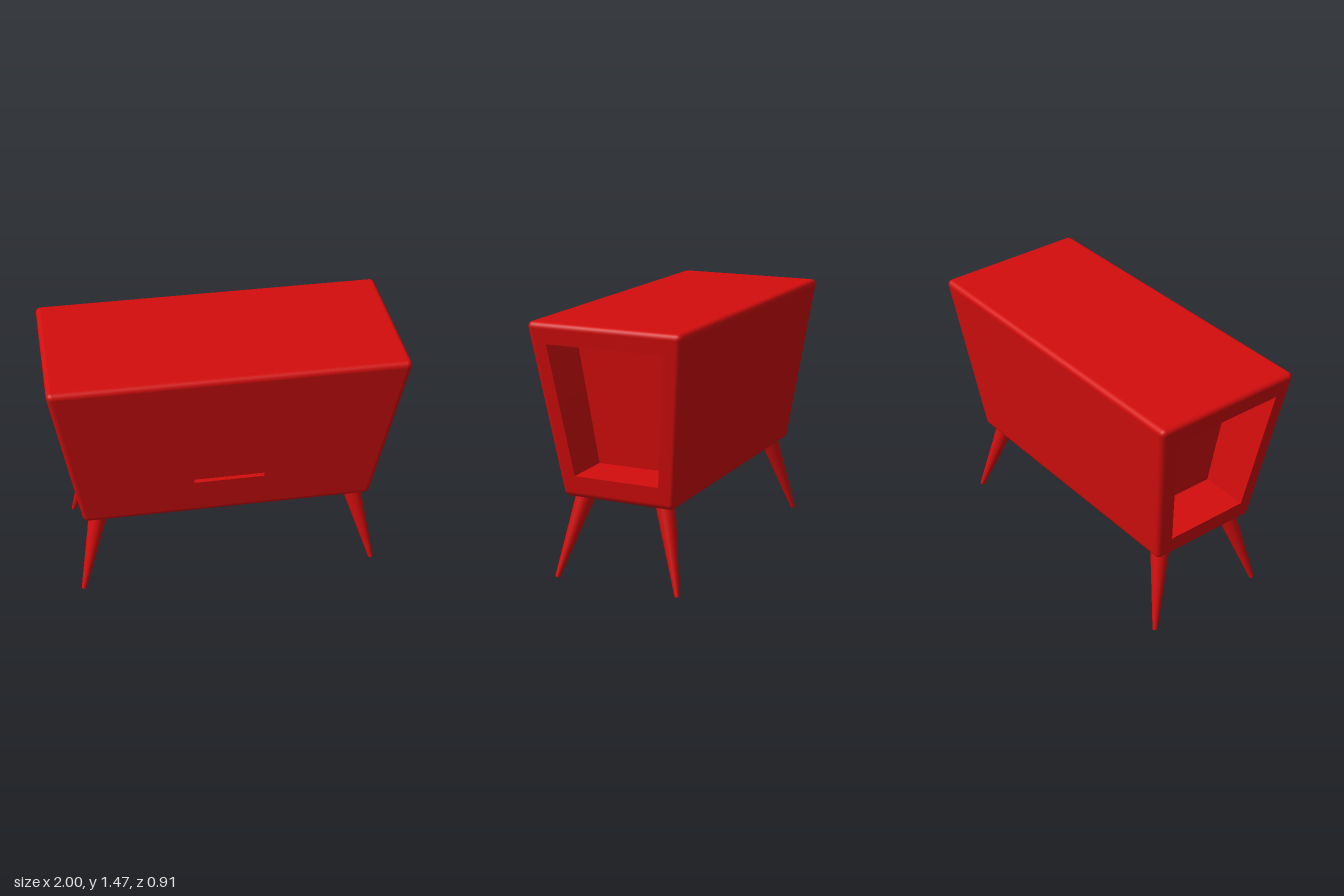
import * as THREE from 'three';
import { mergeGeometries } from 'three/addons/utils/BufferGeometryUtils.js';
import { RoundedBoxGeometry } from 'three/addons/geometries/RoundedBoxGeometry.js';

const Y0 = 0.475, Y1 = 1.475;            // bottom and top of the cabinet
const HX = 1.005, HZ = 0.459, R = 0.035; // half sizes at the top, edge radius
const KX = 0.162, KZ = 0.274;            // how much width and depth shrink at the bottom

// Keep only the triangles for which keep(a, b, c) holds; optionally turn them inside out.
function filterTriangles(geometry, keep, invert = false) {
  const p = geometry.attributes.position, n = geometry.attributes.normal;
  const pos = [], nor = [];
  const order = invert ? [0, 2, 1] : [0, 1, 2], s = invert ? -1 : 1;
  for (let i = 0; i < p.count; i += 3) {
    const corners = [0, 1, 2].map(k => new THREE.Vector3().fromBufferAttribute(p, i + k));
    if (!keep(...corners)) continue;
    for (const k of order) {
      pos.push(...corners[k].toArray());
      nor.push(s * n.getX(i + k), s * n.getY(i + k), s * n.getZ(i + k));
    }
  }
  const out = new THREE.BufferGeometry();
  out.setAttribute('position', new THREE.Float32BufferAttribute(pos, 3));
  out.setAttribute('normal', new THREE.Float32BufferAttribute(nor, 3));
  return out;
}

// Narrow the straight box towards the bottom, carrying the normals along.
function taper(geometry) {
  const p = geometry.attributes.position, n = geometry.attributes.normal;
  const v = new THREE.Vector3(), m = new THREE.Vector3();
  for (let i = 0; i < p.count; i++) {
    v.fromBufferAttribute(p, i);
    m.fromBufferAttribute(n, i);
    const t = (Y1 - v.y) / (Y1 - Y0), sx = 1 - KX * t, sz = 1 - KZ * t;
    m.set(m.x / sx, m.y - v.x * KX * m.x / sx - v.z * KZ * m.z / sz, m.z / sz).normalize();
    p.setXYZ(i, v.x * sx, v.y, v.z * sz);
    n.setXYZ(i, m.x, m.y, m.z);
  }
  return geometry;
}

// A flat wall of the box with a recess sunk into it, facing +z at distance dist.
function recessedWall(halfWidth, outline, depth, dist) {
  const points = outline.map(([x, y]) => new THREE.Vector2(x, y));
  const wall = new THREE.Shape([
    new THREE.Vector2(-halfWidth, Y0 + R), new THREE.Vector2(halfWidth, Y0 + R),
    new THREE.Vector2(halfWidth, Y1 - R), new THREE.Vector2(-halfWidth, Y1 - R)]);
  wall.holes.push(new THREE.Path(points));
  const face = filterTriangles(new THREE.ShapeGeometry(wall).toNonIndexed(), () => true);
  const block = new THREE.ExtrudeGeometry(new THREE.Shape(points), { depth, bevelEnabled: false });
  block.translate(0, 0, -depth);
  const pocket = filterTriangles(block,
    (a, b, c) => Math.min(a.z, b.z, c.z) < -1e-5, true);
  return mergeGeometries([face, pocket]).translate(0, 0, dist);
}

export function createModel() {
  const group = new THREE.Group();
  const red = new THREE.MeshStandardMaterial({ color: 0xd40d0d });
  const add = (name, geometry) => {
    const mesh = new THREE.Mesh(geometry, red);
    mesh.name = name;
    group.add(mesh);
    return mesh;
  };

  // Rounded shell, left open where the recessed walls go
  const box = new RoundedBoxGeometry(2 * HX, Y1 - Y0, 2 * HZ, 4, R);
  box.translate(0, (Y0 + Y1) / 2, 0);
  const shell = filterTriangles(box.index ? box.toNonIndexed() : box, (a, b, c) => {
    const onSide = [a, b, c].every(q => Math.abs(q.x) > HX - 1e-5);
    const onFront = [a, b, c].every(q => q.z > HZ - 1e-5);
    return !onSide && !onFront;
  });
  add('cabinetShell', taper(shell));

  // Front wall with its slot handle
  const slot = [[-0.203, 0.715], [0.203, 0.715], [0.203, 0.75], [-0.203, 0.75]]
    .map(([x, y]) => [x / (1 - KX * (Y1 - y)), y]);
  add('frontWallWithSlot', taper(recessedWall(HX - R, slot, 0.035, HZ)));

  // Open shelf niche in each end
  const niche = [[-0.334, 0.605], [0.334, 0.605], [0.356, 1.357], [-0.356, 1.357]];
  for (const [name, side] of [['leftNiche', 1], ['rightNiche', -1]]) {
    const wall = recessedWall(HZ - R, niche, 0.335, HX).rotateY(side * Math.PI / 2);
    add(name, taper(wall));
  }

  // Splayed, tapered legs
  const up = new THREE.Vector3(0, 1, 0);
  for (const sx of [1, -1]) {
    for (const sz of [1, -1]) {
      const foot = new THREE.Vector3(0.873 * sx, 0.005, 0.371 * sz);
      const top = new THREE.Vector3(0.745 * sx, 0.5, 0.238 * sz);
      const axis = top.clone().sub(foot);
      const leg = add(`${sz > 0 ? 'front' : 'back'}${sx > 0 ? 'Left' : 'Right'}Leg`,
        new THREE.CylinderGeometry(0.057, 0.014, axis.length(), 32));
      leg.position.copy(foot).add(top).multiplyScalar(0.5);
      leg.quaternion.setFromUnitVectors(up, axis.normalize());
    }
  }
  return group;
}
